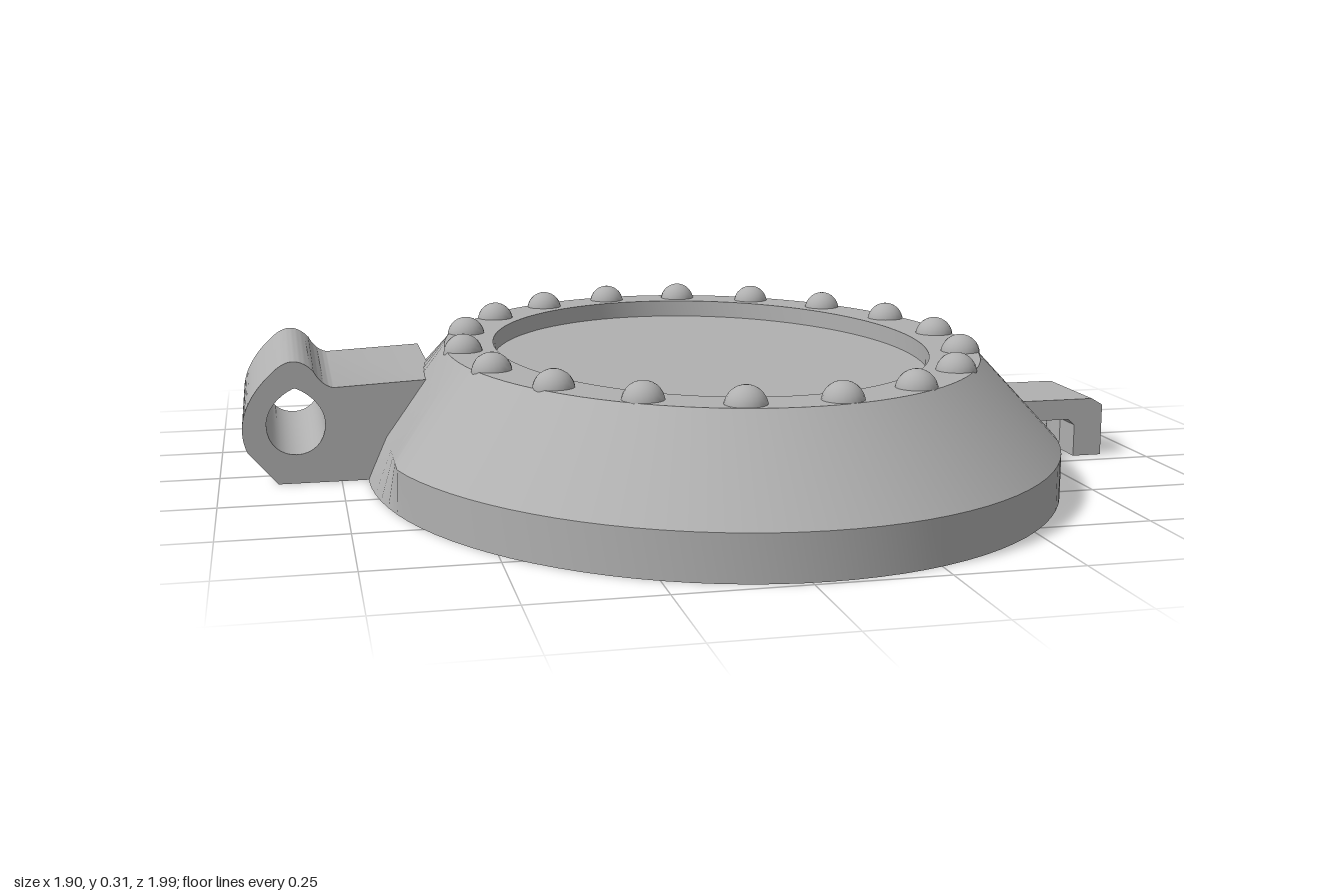
import * as THREE from 'three';
import { toCreasedNormals } from 'three/addons/utils/BufferGeometryUtils.js';

const CX = 0.03, CZ = 0.093, STRETCH = 0.172;

export function createModel() {
  const group = new THREE.Group();
  const grey = new THREE.MeshStandardMaterial({ color: 0xb0b0b0 });
  grey.name = 'plain grey';

  const add = (name, geometry, parent = group) => {
    const mesh = new THREE.Mesh(geometry, grey);
    mesh.name = name;
    parent.add(mesh);
    return mesh;
  };
  const crease = (g) => toCreasedNormals(g, 0.5);
  // Side profile (x, y) pulled along z from z0 to z1
  const slab = (shape, z0, z1) => {
    const g = new THREE.ExtrudeGeometry(shape, { depth: z1 - z0, bevelEnabled: false, curveSegments: 16 });
    return crease(g.translate(0, 0, z0));
  };

  // Oval case: chamfered wall, recessed face on top, conical hollow below
  const profile = [
    [0, 0.2], [0.225, 0.2], [0.445, 0], [0.725, 0], [0.725, 0.09],
    [0.557, 0.27], [0.453, 0.27], [0.453, 0.232], [0, 0.232],
  ].map(([r, y]) => new THREE.Vector2(r, y));
  const body = new THREE.LatheGeometry(profile, 96);
  const p = body.attributes.position;
  for (let i = 0; i < p.count; i++) {
    const a = (Math.floor(i / profile.length) / 96) * Math.PI * 2;
    const y = p.getY(i);
    let x = p.getX(i) + CX;
    // Slanted flat beside the hinge
    if (y < 0.1) x = Math.max(x, -0.7 + 0.5 * y);
    p.setXYZ(i, x, y, p.getZ(i) + STRETCH * Math.cos(a) + CZ);
  }
  add('case', crease(body));

  // Ring of round studs
  const studs = new THREE.Group();
  studs.name = 'studs';
  group.add(studs);
  const ball = new THREE.SphereGeometry(0.041, 20, 14);
  for (let i = 0; i < 18; i++) {
    const a = (i / 18) * Math.PI * 2;
    add('stud', ball, studs).position.set(CX + 0.522 * Math.cos(a), 0.264, CZ + 0.687 * Math.sin(a));
  }

  // Hinge lug with a teardrop eye
  const lug = new THREE.Shape();
  lug.moveTo(-0.88, 0);
  lug.lineTo(-0.57, 0);
  lug.lineTo(-0.55, 0.21);
  lug.lineTo(-0.76, 0.2);
  lug.quadraticCurveTo(-0.785, 0.205, -0.8, 0.235);
  lug.quadraticCurveTo(-0.84, 0.28, -0.885, 0.235);
  lug.bezierCurveTo(-0.935, 0.19, -0.965, 0.13, -0.94, 0.07);
  lug.lineTo(-0.88, 0);
  const eye = new THREE.Path();
  eye.moveTo(-0.84, 0.202);
  eye.bezierCurveTo(-0.87, 0.19, -0.9, 0.16, -0.9, 0.125);
  eye.bezierCurveTo(-0.9, 0.04, -0.78, 0.04, -0.78, 0.125);
  eye.bezierCurveTo(-0.78, 0.16, -0.81, 0.19, -0.84, 0.202);
  lug.holes.push(eye);
  add('hingeLug', slab(lug, -0.38, 0.08));

  // Latch hook with a rounded thumb catch
  const hook = new THREE.Shape([
    [0.7, 0.083], [0.83, 0.083], [0.845, 0.07], [0.845, 0], [0.91, 0],
    [0.91, 0.113], [0.885, 0.128], [0.7, 0.128],
  ].map(([x, y]) => new THREE.Vector2(x, y)));
  add('latchHook', slab(hook, -0.012, 0.205));
  const catchGeo = new THREE.CylinderGeometry(0.057, 0.057, 0.087, 24);
  add('latchCatch', catchGeo).position.set(0.89, 0.0435, 0.098);

  // Pointed rear tab, its top falling slightly towards the tip
  const tab = new THREE.Shape();
  tab.moveTo(-0.18, 0.77);
  tab.lineTo(0.025, 0.98);
  tab.quadraticCurveTo(0.057, 1.02, 0.085, 0.98);
  tab.lineTo(0.23, 0.77);
  tab.lineTo(0.23, 0.7);
  tab.lineTo(-0.18, 0.7);
  const tabGeo = new THREE.ExtrudeGeometry(tab, { depth: 0.09, bevelEnabled: false });
  tabGeo.rotateX(-Math.PI / 2);
  const t = tabGeo.attributes.position;
  for (let i = 0; i < t.count; i++) {
    if (t.getY(i) > 0.05) t.setY(i, 0.09 + 0.06 * Math.min(0, t.getZ(i) + 0.8));
  }
  add('rearTab', crease(tabGeo));

  return group;
}
